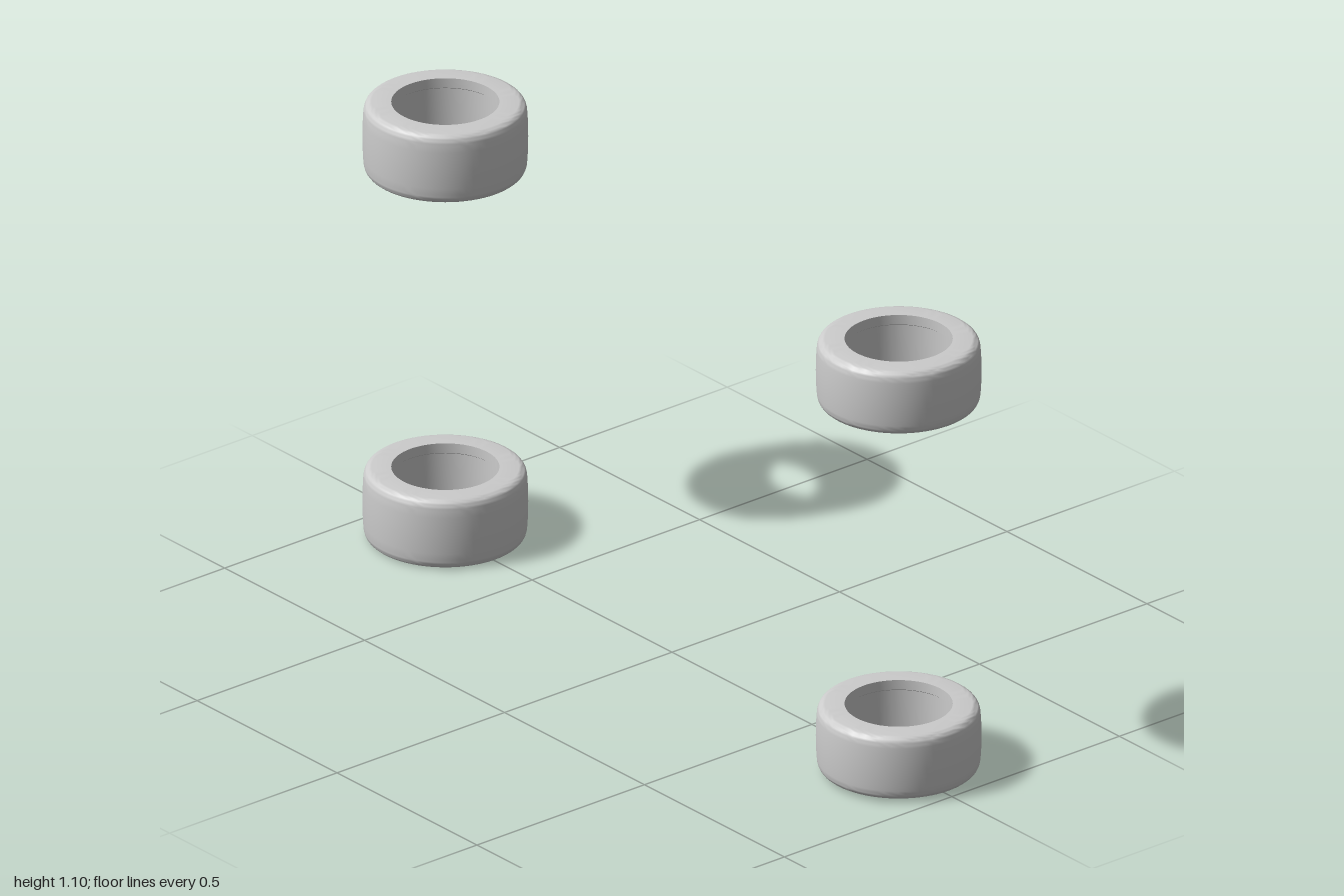
import * as THREE from 'three';
import { toCreasedNormals } from 'three/addons/utils/BufferGeometryUtils.js';

const OUTER = 0.19, LIP = 0.124, BORE = 0.128;

// Tyre with rounded shoulders and a shallow recess between two inner lips
function tyreGeometry(half) {
  const lipDepth = 0.024;
  const path = new THREE.Path();
  path.moveTo(LIP, -half);
  path.lineTo(0.163, -half);
  path.bezierCurveTo(0.18, -half, 0.187, -half + 0.008, 0.188, -half + 0.026);
  path.quadraticCurveTo(OUTER + 0.002, 0, 0.188, half - 0.026);
  path.bezierCurveTo(0.187, half - 0.008, 0.18, half, 0.163, half);
  path.lineTo(LIP, half);
  path.lineTo(LIP, half - lipDepth);
  path.lineTo(BORE, half - lipDepth - 0.003);
  path.lineTo(BORE, -half + lipDepth + 0.003);
  path.lineTo(LIP, -half + lipDepth);
  path.lineTo(LIP, -half);
  return toCreasedNormals(new THREE.LatheGeometry(path.getPoints(8), 72), 0.6);
}

export function createModel() {
  const group = new THREE.Group();
  const material = new THREE.MeshStandardMaterial({ color: 0xcccccc });

  // The right-hand pair is slightly wider than the left-hand pair
  const sides = [
    { side: 'right', x: -0.81, half: 0.087 },
    { side: 'left', x: 0.81, half: 0.08 },
  ];
  const levels = [
    { level: 'lower', y: 0.09 },
    { level: 'upper', y: 1.017 },
  ];
  for (const { side, x, half } of sides) {
    const geometry = tyreGeometry(half);
    for (const { level, y } of levels) {
      const tyre = new THREE.Mesh(geometry, material);
      tyre.name = `${level}${side === 'left' ? 'Left' : 'Right'}Tyre`;
      tyre.position.set(x, y, 0);
      if (level === 'upper') tyre.rotation.x = Math.PI;
      group.add(tyre);
    }
  }
  return group;
}
